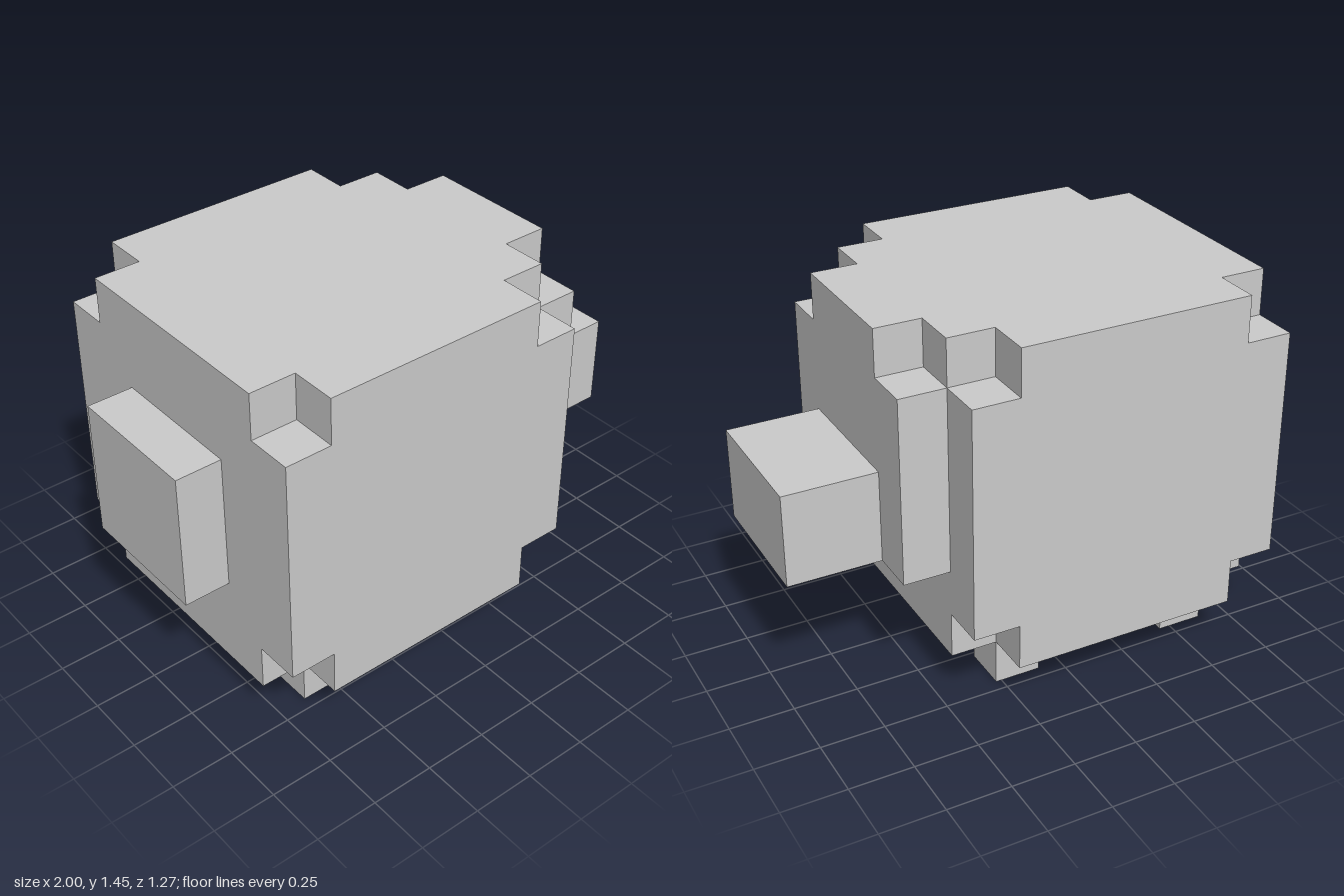
import * as THREE from 'three';

const U = 2 / 11; // one block

export function createModel() {
  const model = new THREE.Group();
  const material = new THREE.MeshStandardMaterial({ color: 0xcccccc, flatShading: true });

  function add(name, geometry, x, y, z) {
    const mesh = new THREE.Mesh(geometry, material);
    mesh.name = name;
    mesh.position.set(x * U, y * U, z * U);
    model.add(mesh);
  }

  // Box from block ranges; x runs from -5.5 to 5.5
  function block(name, x0, x1, y0, y1, z0, z1) {
    const geometry = new THREE.BoxGeometry((x1 - x0) * U, (y1 - y0) * U, (z1 - z0) * U);
    add(name, geometry, (x0 + x1) / 2, (y0 + y1) / 2, (z0 + z1) / 2);
  }

  // Body: full middle slab with a notched-corner layer on each side
  block('body', -4.5, 2.5, 1, 8, -2.5, 2.5);
  const a = 3.5 * U, b = 2.5 * U;
  const notched = new THREE.Shape([
    [b, -a], [b, -b], [a, -b], [a, b], [b, b], [b, a],
    [-b, a], [-b, b], [-a, b], [-a, -b], [-b, -b], [-b, -a],
  ].map(([x, y]) => new THREE.Vector2(x, y)));
  const layer = new THREE.ExtrudeGeometry(notched, { depth: U, bevelEnabled: false });
  add('bodySideFront', layer, -1, 4.5, 2.5);
  add('bodySideBack', layer, -1, 4.5, -3.5);

  // Face plate with a raised crown, then the snout
  block('face', 2.5, 3.5, 3, 7, -2.5, 2.5);
  block('crown', 2.5, 3.5, 7, 8, -1.5, 1.5);
  block('snout', 3.5, 5.5, 3, 5, -1.5, 1.5);

  // Tail
  block('tail', -5.5, -4.5, 3, 6, -1.5, 1.5);

  // Legs
  for (const x of [-3.5, 0.5]) {
    for (const z of [-2.5, 1.5]) block('leg', x, x + 1, 0, 1, z, z + 1);
  }

  return model;
}
